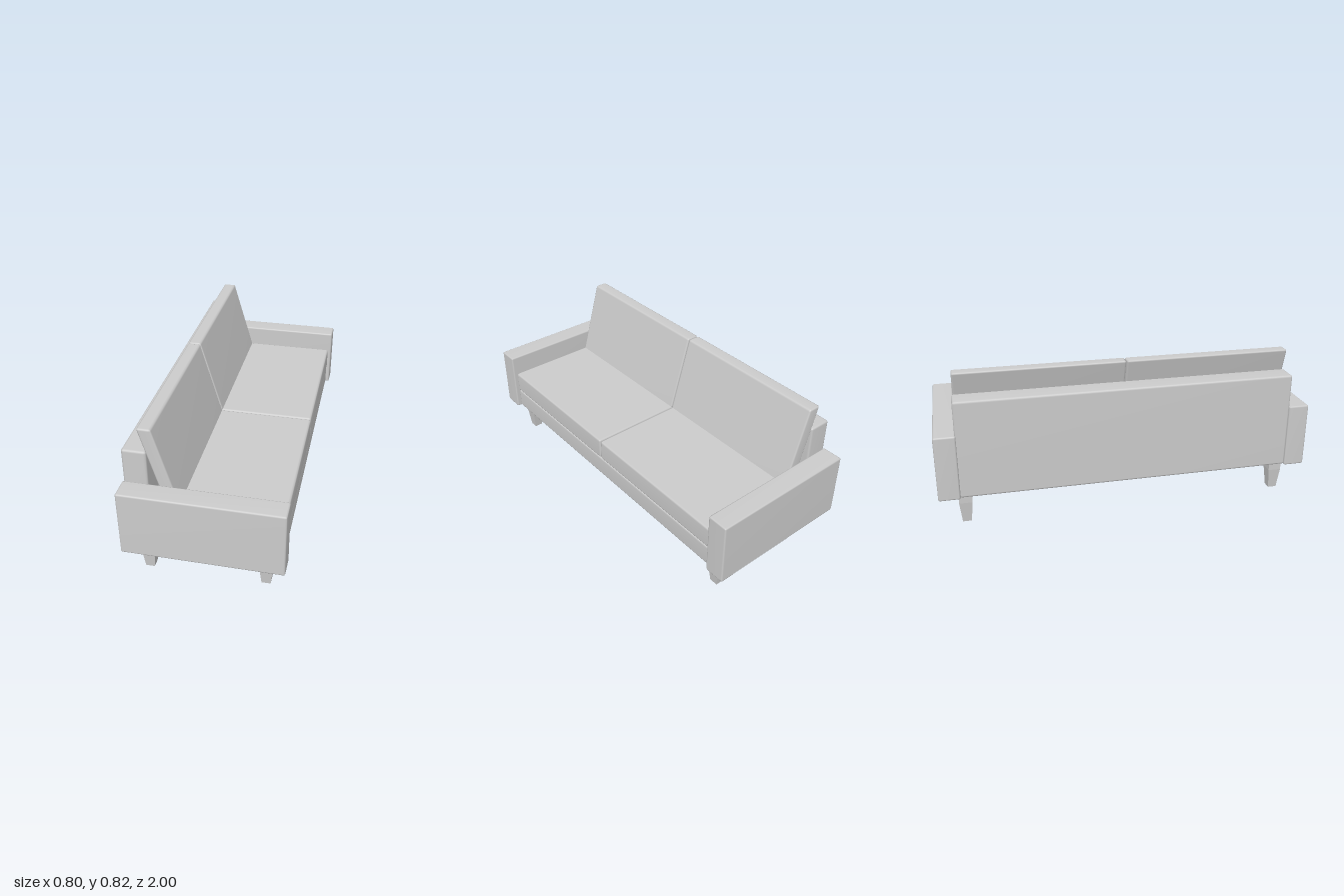
import * as THREE from 'three';
import { RoundedBoxGeometry } from 'three/addons/geometries/RoundedBoxGeometry.js';
import { mergeVertices } from 'three/addons/utils/BufferGeometryUtils.js';

const material = new THREE.MeshStandardMaterial({ color: 0xcccccc });
const legMaterial = new THREE.MeshStandardMaterial({ color: 0xcccccc, flatShading: true });

// Soft-edged block spanning the given ranges; shear slides x as y rises
function block(name, [x0, x1], [y0, y1], [z0, z1], radius, shear = 0) {
  const rounded = new RoundedBoxGeometry(x1 - x0, y1 - y0, z1 - z0, 1, radius);
  rounded.deleteAttribute('normal');
  rounded.deleteAttribute('uv');
  rounded.clearGroups();
  const geometry = mergeVertices(rounded, 1e-5);
  const p = geometry.attributes.position;
  for (let i = 0; i < p.count; i++) p.setX(i, p.getX(i) + shear * p.getY(i));
  geometry.computeVertexNormals();
  const mesh = new THREE.Mesh(geometry, material);
  mesh.name = name;
  mesh.position.set((x0 + x1) / 2, (y0 + y1) / 2, (z0 + z1) / 2);
  return mesh;
}

// Square leg: straight collar above a tapered foot
function leg(name, x, z) {
  const group = new THREE.Group();
  group.name = name;
  const section = (part, top, bottom, y0, y1) => {
    const geometry = new THREE.CylinderGeometry(top * Math.SQRT1_2, bottom * Math.SQRT1_2, y1 - y0, 4);
    geometry.rotateY(Math.PI / 4);
    const mesh = new THREE.Mesh(geometry, legMaterial);
    mesh.name = part;
    mesh.position.y = (y0 + y1) / 2;
    group.add(mesh);
  };
  section('legCollar', 0.07, 0.07, 0.115, 0.18);
  section('legFoot', 0.07, 0.046, 0, 0.115);
  group.position.set(x, 0, z);
  return group;
}

export function createModel() {
  const sofa = new THREE.Group();
  sofa.name = 'sofa';

  // Frame
  sofa.add(block('base', [-0.385, 0.38], [0.177, 0.293], [-0.887, 0.887], 0.012));
  sofa.add(block('backrest', [-0.395, -0.273], [0.177, 0.702], [-0.892, 0.892], 0.012));

  // Paired parts along the length of the sofa
  for (const side of [-1, 1]) {
    const span = (a, b) => (side > 0 ? [a, b] : [-b, -a]);
    sofa.add(block('arm', [-0.402, 0.402], [0.173, 0.524], span(0.887, 1), 0.009));
    sofa.add(block('seatCushion', [-0.28, 0.383], [0.295, 0.415], span(0.002, 0.885), 0.012));
    sofa.add(block('backCushion', [-0.255, -0.186], [0.405, 0.822], span(0.002, 0.884), 0.01, -0.29));
    sofa.add(leg('backLeg', -0.3, side * 0.865));
    sofa.add(leg('frontLeg', 0.295, side * 0.865));
  }
  return sofa;
}
